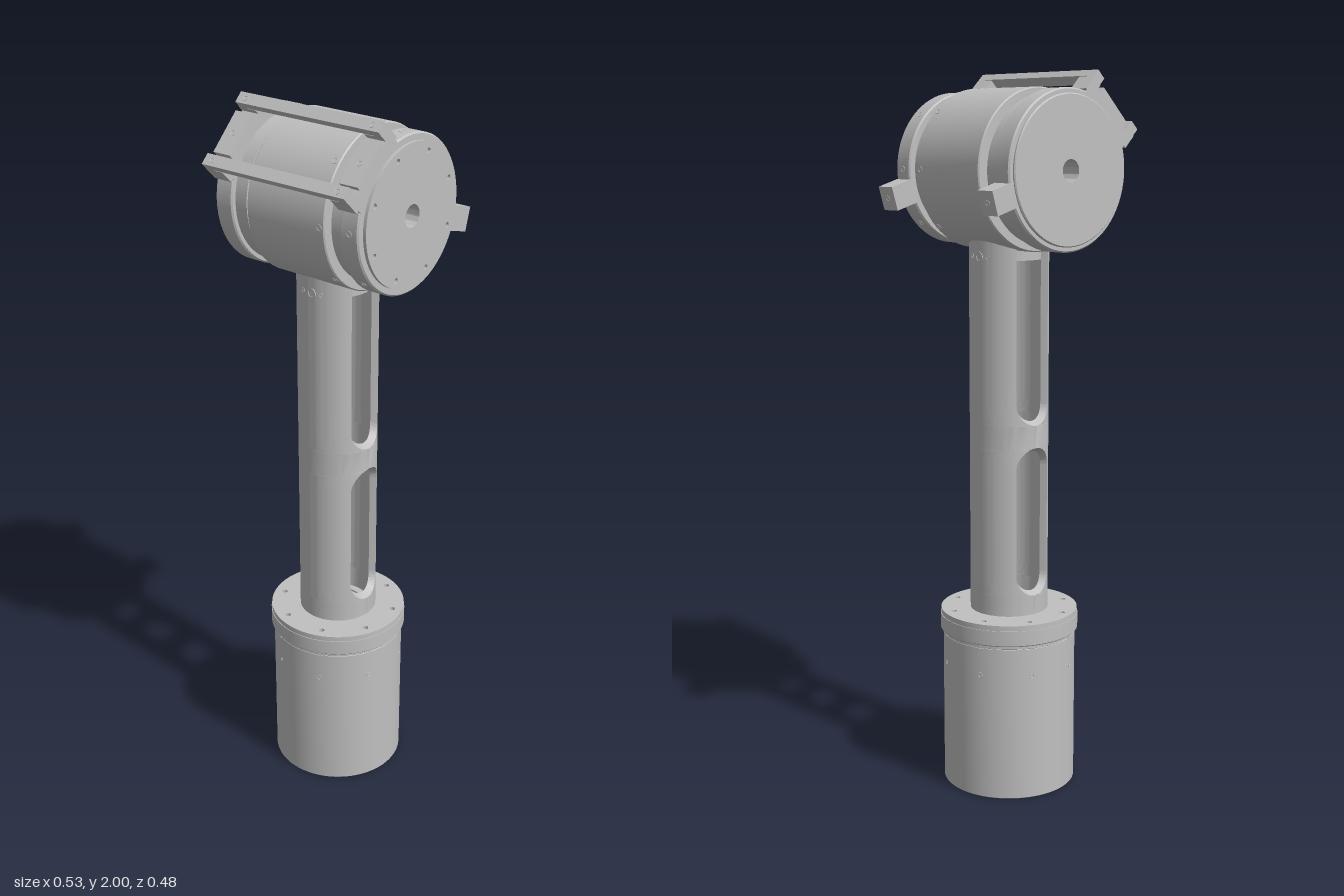
import * as THREE from 'three';
import { toCreasedNormals } from 'three/addons/utils/BufferGeometryUtils.js';

const AXIS_X = -0.003, HEAD_Y = 1.74;

export function createModel() {
  const metal = new THREE.MeshStandardMaterial({ color: 0xc0c0c0 });
  metal.name = 'grey metal';

  const add = (parent, name, geometry) => {
    const mesh = new THREE.Mesh(geometry, metal);
    mesh.name = name;
    parent.add(mesh);
    return mesh;
  };
  const group = (parent, name) => {
    const g = new THREE.Group();
    g.name = name;
    parent.add(g);
    return g;
  };
  const turned = (pts, sides = 72) => toCreasedNormals(
    new THREE.LatheGeometry(pts.map(([r, y]) => new THREE.Vector2(r, y)), sides), 0.4);

  // Disc with a bore and a circle of bolt holes, extruded along +z
  const drilledDisc = (radius, depth, bore, boltCircle, boltRadius) => {
    const s = new THREE.Shape();
    s.absarc(0, 0, radius, 0, Math.PI * 2);
    const hole = (x, y, r) => {
      const p = new THREE.Path();
      p.absarc(x, y, r, 0, Math.PI * 2, true);
      s.holes.push(p);
    };
    hole(0, 0, bore);
    for (let i = 0; i < 8; i++) {
      const a = (i + 0.5) * Math.PI / 4;
      hole(boltCircle * Math.cos(a), boltCircle * Math.sin(a), boltRadius);
    }
    return toCreasedNormals(new THREE.ExtrudeGeometry(s, { depth, bevelEnabled: false, curveSegments: 36 }), 0.4);
  };

  const model = new THREE.Group();
  const body = group(model, 'jointLink');
  body.position.x = AXIS_X;

  // Base motor housing with a blind bore underneath
  const base = group(body, 'base');
  add(base, 'baseHousing', turned([
    [0, 0.4], [0.028, 0.4], [0.028, 0], [0.186, 0], [0.188, 0.002], [0.188, 0.439],
    [0.187, 0.44], [0.188, 0.441], [0.188, 0.45],
    [0.193, 0.45], [0.196, 0.453], [0.196, 0.495], [0, 0.495],
  ]));
  const flange = drilledDisc(0.194, 0.016, 0.07, 0.165, 0.008);
  flange.rotateX(-Math.PI / 2);
  add(base, 'baseFlange', flange).position.y = 0.494;

  // Small cupped screw head facing +z
  const screw = turned([[0.009, -0.002], [0.0085, 0.001], [0.006, 0.001], [0.005, -0.0005], [0, -0.0005]], 16);
  screw.rotateX(Math.PI / 2);
  for (let i = 0; i < 8; i++) {
    const a = (i + 0.5) * Math.PI / 4;
    [[0.36, 0.9], [0.44, 0.5]].forEach(([y, s]) => {
      const m = add(base, 'baseScrew', screw);
      m.position.set(0.188 * Math.sin(a), y, 0.188 * Math.cos(a));
      m.rotation.y = a;
      m.scale.set(s, s, 1);
    });
  }

  // Slotted tube: two mirrored C-shaped walls lofted upward.
  // Each level is a slot arc centre and a direction, so slots are wider outside than inside.
  const R = 0.11, RI = 0.09, WIDE = 0.058, NARROW = 0.047;
  const levels = [[0.49, 0, 0]];
  const slotEnd = (centre, from, to) => {
    for (let i = 0; i <= 16; i++) {
      const t = from + (to - from) * i / 16;
      levels.push([centre, -Math.cos(t), Math.sin(t)]);
    }
  };
  slotEnd(0.622, 0, Math.PI / 2);
  slotEnd(0.928, Math.PI / 2, Math.PI);
  slotEnd(1.107, 0, Math.PI / 2);
  levels.push([1.6, 0, 1]);
  const ARC = 28, pos = [], idx = [], N = 2 * (ARC + 1);
  levels.forEach(([centre, up, out], k) => {
    for (let i = 0; i < N; i++) {
      const inner = i > ARC;
      const r = inner ? RI : R, slot = inner ? NARROW : WIDE;
      const f = inner ? (N - 1 - i) / ARC : i / ARC;
      const a = Math.asin(slot * out / r), th = a + (Math.PI - 2 * a) * f;
      pos.push(r * Math.sin(th), centre + up * slot, r * Math.cos(th));
      if (k < levels.length - 1) {
        const p = k * N + i, q = k * N + (i + 1) % N;
        idx.push(p, q, q + N, p, q + N, p + N);
      }
    }
  });
  const wall = new THREE.BufferGeometry();
  wall.setAttribute('position', new THREE.Float32BufferAttribute(pos, 3));
  wall.setIndex(idx);
  const wallGeo = toCreasedNormals(wall, 0.6);
  const tube = group(body, 'slottedTube');
  for (let s = 0; s < 2; s++) {
    add(tube, 'tubeWall', wallGeo).rotation.y = s * Math.PI;
    // Side port and its two screws
    [[0, 1.7], [-0.03, 0.8], [0.03, 0.8]].forEach(([z, size]) => {
      const side = s ? -1 : 1, m = add(tube, 'tubeScrew', screw);
      m.position.set(side * Math.sqrt(R * R - z * z), 1.51, z);
      m.rotation.y = Math.atan2(m.position.x, z);
      m.scale.set(size, size, 1);
    });
  }
  add(tube, 'tubePlug', new THREE.CylinderGeometry(0.091, 0.091, 0.1, 48)).position.y = 1.55;

  // Head: turned housing along z with a through bore
  const head = group(body, 'head');
  head.position.y = HEAD_Y;
  const housing = turned([
    [0.03, -0.238], [0.195, -0.238], [0.198, -0.235], [0.198, -0.137], [0.186, -0.137],
    [0.186, -0.12], [0.213, -0.12], [0.216, -0.117], [0.216, 0.128], [0.213, 0.131],
    [0.187, 0.131], [0.187, 0.225], [0.03, 0.225], [0.03, -0.238],
  ]);
  housing.rotateX(Math.PI / 2);
  add(head, 'headHousing', housing);
  add(head, 'frontPlate', drilledDisc(0.187, 0.014, 0.03, 0.165, 0.007)).position.z = 0.224;

  // Clamp rings with a side lug and handle feet
  const handle = group(head, 'handle');
  handle.rotation.z = Math.PI / 4;   // local y points out, local x along the tangent
  const handleScrew = (x, y, z) => {
    const m = add(handle, 'handleScrew', screw);
    m.position.set(x, y, z);
    m.rotation.x = -Math.PI / 2;
  };
  [[0.201, 0.207, 0.234], [-0.203, 0.212, 0.24]].forEach(([z, r, padTop]) => {
    const clamp = group(head, z > 0 ? 'frontClamp' : 'rearClamp');
    clamp.position.z = z;
    const ring = turned([
      [0.18, -0.028], [r - 0.004, -0.028], [r, -0.024], [r, 0.024], [r - 0.004, 0.028], [0.18, 0.028], [0.18, -0.028],
    ]);
    ring.rotateX(Math.PI / 2);
    add(clamp, 'clampRing', ring);
    const lug = group(clamp, 'clampLug');
    lug.rotation.z = -0.29;
    add(lug, 'lugBlock', new THREE.BoxGeometry(0.08, 0.066, 0.058)).position.x = 0.23;
    const lugScrew = add(lug, 'lugScrew', screw);
    lugScrew.position.x = 0.27;
    lugScrew.rotation.y = Math.PI / 2;
    add(handle, 'handlePad', new THREE.BoxGeometry(0.2, 0.05, 0.056)).position.set(0, 0.195, z);
    add(handle, 'raisedPad', new THREE.BoxGeometry(0.124, 0.05, 0.056)).position.set(0, padTop - 0.025, z);
    handleScrew(0, padTop, z);
    for (const x of [-0.093, 0.091]) {
      add(handle, 'handleFoot', new THREE.BoxGeometry(0.032, 0.045, 0.056)).position.set(x, 0.2125, z);
      add(handle, 'handleLeg', new THREE.BoxGeometry(0.032, 0.06, 0.027))
        .position.set(x, 0.229, Math.sign(z) * 0.2145);
      handleScrew(x, 0.259, z);
    }
  });
  for (const x of [-0.093, 0.091]) {
    add(handle, 'handleBar', new THREE.BoxGeometry(0.032, 0.022, 0.456)).position.set(x, 0.248, 0);
  }

  // Radial screws around the housing and the front clamp; the pad carries its own
  for (let i = 0; i < 8; i++) {
    for (const [r, z] of i === 3 ? [[0.216, 0.115]] : [[0.216, 0.115], [0.207, 0.201]]) {
      const a = i * Math.PI / 4, m = add(head, 'headScrew', screw);
      m.position.set(r * Math.cos(a), r * Math.sin(a), z);
      m.rotation.set(0, Math.PI / 2, a, 'ZYX');
    }
  }

  return model;
}
